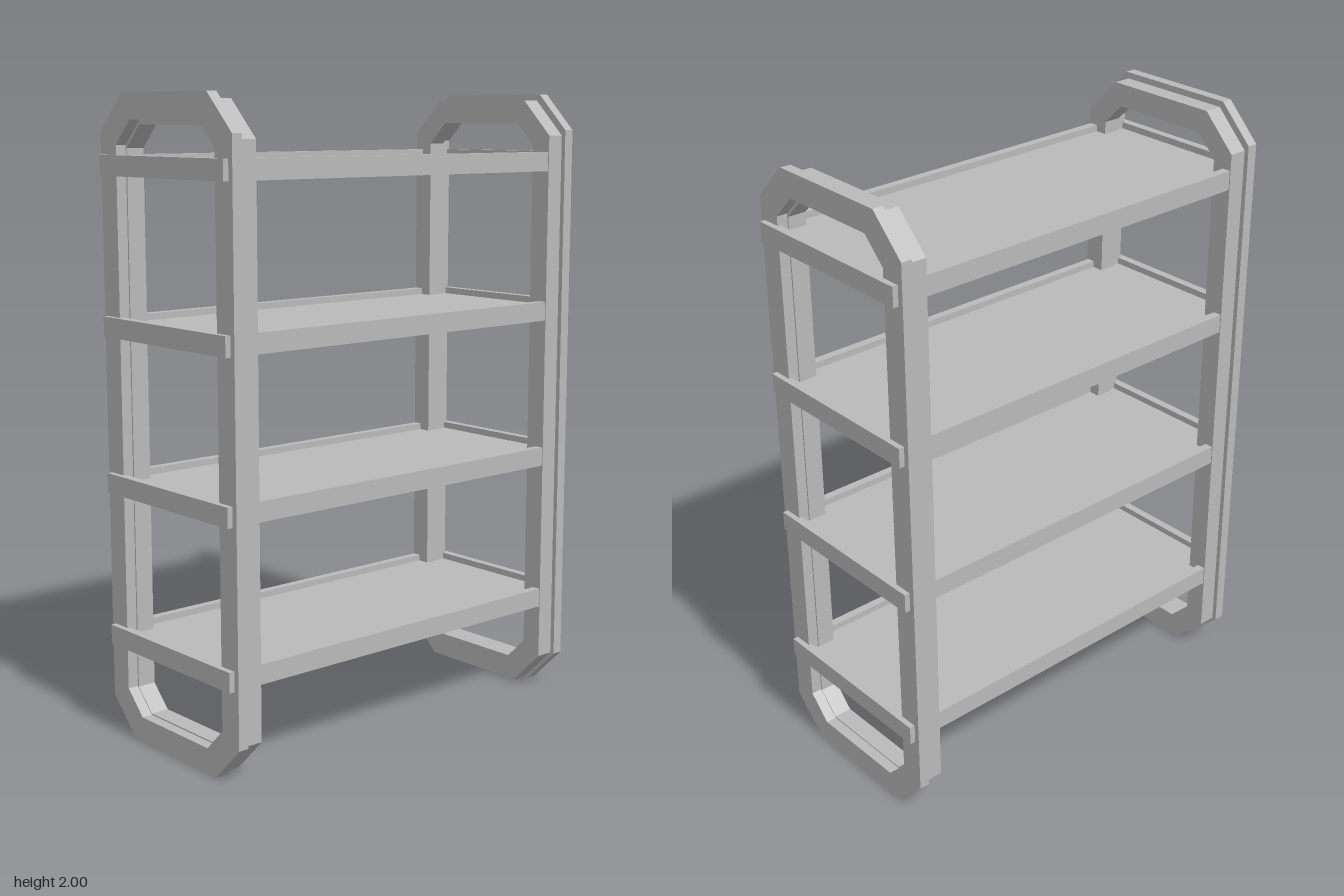
import * as THREE from 'three';

const grey = new THREE.MeshStandardMaterial({ color: 0xbababa });
grey.name = 'grey';

// Corner points of a rectangle with cut corners, in the z/y plane
function cutRect(halfZ, y0, y1, cut) {
  return [
    [-halfZ + cut, y0], [halfZ - cut, y0], [halfZ, y0 + cut], [halfZ, y1 - cut],
    [halfZ - cut, y1], [-halfZ + cut, y1], [-halfZ, y1 - cut], [-halfZ, y0 + cut],
  ].map(([a, b]) => new THREE.Vector2(a, b));
}

// Closed loop frame lying across x, from x0 to x1
function loopFrame(name, outer, inner, x0, x1) {
  const shape = new THREE.Shape(cutRect(...outer));
  shape.holes.push(new THREE.Path(cutRect(...inner)));
  const geo = new THREE.ExtrudeGeometry(shape, { depth: x1 - x0, bevelEnabled: false });
  geo.rotateY(Math.PI / 2);
  geo.translate(x0, 0, 0);
  const mesh = new THREE.Mesh(geo, grey);
  mesh.name = name;
  return mesh;
}

function box(name, w, h, d, x, y, z) {
  const mesh = new THREE.Mesh(new THREE.BoxGeometry(w, h, d), grey);
  mesh.name = name;
  mesh.position.set(x, y, z);
  return mesh;
}

export function createModel() {
  const model = new THREE.Group();
  model.name = 'shelfRack';

  // Side frames: a larger outer loop against a slightly smaller inner loop
  for (const side of [-1, 1]) {
    const frame = new THREE.Group();
    frame.name = side > 0 ? 'leftFrame' : 'rightFrame';
    const span = (a, b) => (side > 0 ? [a, b] : [-b, -a]);
    frame.add(
      loopFrame('outerLoop', [0.325, 0, 2, 0.115], [0.245, 0.08, 1.92, 0.075], ...span(0.66, 0.695)),
      loopFrame('innerLoop', [0.31, 0.004, 1.98, 0.112], [0.24, 0.084, 1.906, 0.07], ...span(0.6, 0.66)),
    );
    model.add(frame);
  }

  // Shelves: shallow trays with a raised rim
  const height = 0.062, rim = 0.028, halfX = 0.713, halfZ = 0.307;
  for (const y of [0.322, 0.81, 1.298, 1.785]) {
    const shelf = new THREE.Group();
    shelf.name = 'shelf';
    shelf.position.y = y;
    shelf.add(box('shelfPlate', 2 * (halfX - rim), 0.04, 2 * (halfZ - rim), 0, -height / 2 + 0.021, 0));
    for (const s of [-1, 1]) {
      shelf.add(
        box(s > 0 ? 'frontRim' : 'backRim', 2 * halfX, height, rim, 0, 0, s * (halfZ - rim / 2)),
        box(s > 0 ? 'leftRim' : 'rightRim', rim, height, 2 * (halfZ - rim), s * (halfX - rim / 2), 0, 0),
      );
    }
    model.add(shelf);
  }
  return model;
}
